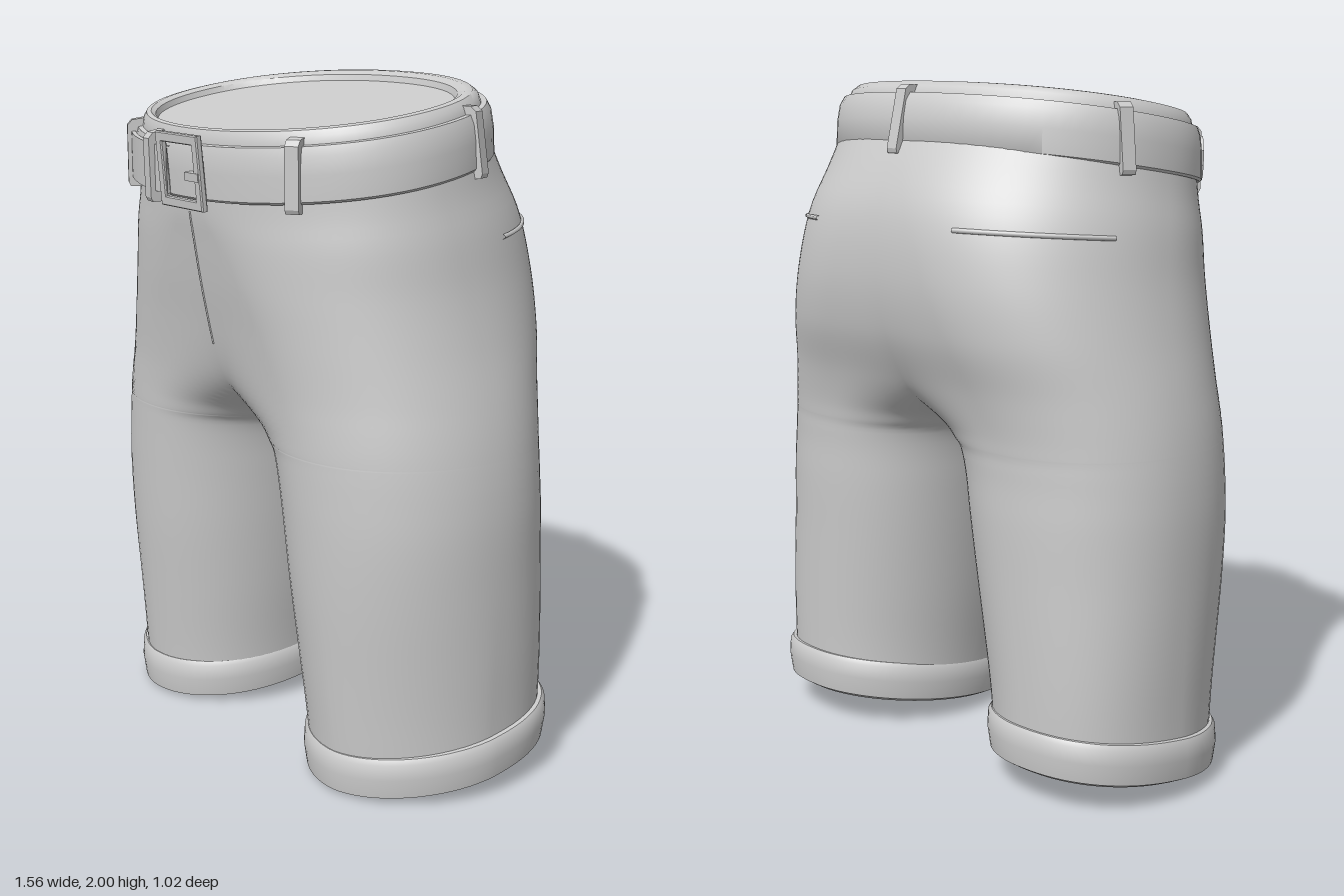
import * as THREE from 'three';
import { mergeVertices, mergeGeometries, toCreasedNormals } from 'three/addons/utils/BufferGeometryUtils.js';

const CROTCH = 0.99;
const RAD = Math.PI / 180;
const { lerp, smoothstep } = THREE.MathUtils;

// Half-body sections: height, tilt, outer x, centre x, inner x, front z, back z, middle z
// (a negative inner x means the section runs into the mirror plane)
const SECTIONS = [
  [0.12, 0.13, 0.755, 0.455, 0.150, 0.310, -0.383, -0.04],
  [0.20, 0.12, 0.756, 0.455, 0.142, 0.317, -0.385, -0.04],
  [0.40, 0.08, 0.762, 0.440, 0.115, 0.335, -0.390, -0.04],
  [0.60, 0.04, 0.766, 0.420, 0.090, 0.352, -0.395, -0.04],
  [0.80, 0.00, 0.766, 0.400, 0.065, 0.363, -0.400, -0.04],
  [0.90, 0.00, 0.760, 0.385, 0.050, 0.367, -0.400, -0.04],
  [0.95, 0.00, 0.755, 0.377, 0.036, 0.369, -0.402, -0.04],
  [0.975, 0.0, 0.752, 0.372, 0.022, 0.370, -0.403, -0.04],
  [CROTCH, 0, 0.750, 0.368, 0.000, 0.371, -0.405, -0.04],
  [1.03, 0.00, 0.744, 0.358, -0.06, 0.373, -0.410, -0.04],
  [1.08, 0.00, 0.735, 0.340, -0.20, 0.376, -0.420, -0.04],
  [1.15, 0.00, 0.720, 0.310, -0.45, 0.382, -0.438, -0.04],
  [1.30, 0.00, 0.684, 0.250, -1.00, 0.402, -0.487, -0.03],
  [1.45, 0.03, 0.652, 0.180, -1.50, 0.425, -0.510, -0.01],
  [1.60, 0.08, 0.628, 0.100, -2.00, 0.445, -0.497, 0.02],
  [1.70, 0.13, 0.606, 0.030, -2.00, 0.457, -0.455, 0.04],
  [1.80, 0.155, 0.590, 0.00, -2.00, 0.463, -0.405, 0.05],
];
const spline = new THREE.CubicInterpolant(
  SECTIONS.map(s => s[0]), SECTIONS.flatMap(s => s.slice(1)), 7);

function section(y) {
  const [tilt, xo, cx, xi, zf, zb, cz] = spline.evaluate(y);
  return { y, tilt, xo, cx: Math.max(cx, 0), xi, zf, zb, cz };
}

// Squareness of each corner; the legs turn slightly askew towards the hem
function squareness(y, outer, front) {
  const hem = front ? (outer ? 1.8 : 2.08) : (outer ? 2.4 : 2.0);
  return lerp(hem, front ? 2.08 : 2.14, smoothstep(y, 0.2, 0.8));
}

// Point of a section's superellipse; angle 0 is +x, 90 the front, o an outward offset
function ringPoint(s, deg, o = 0) {
  const c = Math.cos(deg * RAD), si = Math.sin(deg * RAD);
  const e = 2 / squareness(s.y, c > 0, si > 0);
  const rx = c > 0 ? s.xo + o - s.cx : s.cx - s.xi + o;
  const rz = si > 0 ? s.zf + o - s.cz : s.cz - s.zb + o;
  const x = s.cx + Math.sign(c) * rx * Math.abs(c) ** e;
  const z = s.cz + Math.sign(si) * rz * Math.abs(si) ** e;
  return new THREE.Vector3(Math.abs(x) < 1e-4 ? 0 : x, s.y - s.tilt * z, z);
}

// Angle at which the section meets the mirror plane
function endAngle(s, front) {
  if (s.xi > -1e-6) return 180;
  return Math.acos(-((s.cx / (s.cx - s.xi)) ** (squareness(s.y, false, front) / 2))) / RAD;
}

// Skin over rows of points
function loft(rows) {
  const w = rows[0].length, index = [];
  for (let i = 0; i < rows.length - 1; i++)
    for (let j = 0; j < w - 1; j++) {
      const a = i * w + j, b = a + w;
      index.push(a, b, a + 1, b, b + 1, a + 1);
    }
  const g = new THREE.BufferGeometry().setFromPoints(rows.flat());
  g.setIndex(index);
  return g;
}

function mirrored(g) {
  const m = g.clone().applyMatrix4(new THREE.Matrix4().makeScale(-1, 1, 1));
  m.setIndex(Array.from(g.index.array).reverse());
  return m;
}

const closedRow = (s, o = 0, n = 72) =>
  Array.from({ length: n + 1 }, (_, j) => ringPoint(s, -180 + 360 * j / n, o));
const centreRow = (s, n = 72) =>
  Array(n + 1).fill(new THREE.Vector3(s.cx, s.y - s.tilt * s.cz, s.cz));
const creased = g => toCreasedNormals(mergeVertices(g, 1e-5), 0.7);

// Waist section, a full loop round the body
const waist = (y, xo, zf, zb) => ({ y, tilt: 0.155, xo, cx: 0, xi: -xo, zf, zb, cz: 0.05 });
const BELT = waist(1.83, 0.603, 0.481, -0.415);

export function createModel() {
  const model = new THREE.Group();
  const grey = new THREE.MeshStandardMaterial({ color: 0xcccccc, side: THREE.DoubleSide });
  const add = (name, geometry, parent = model) => {
    const mesh = new THREE.Mesh(geometry, grey);
    mesh.name = name;
    parent.add(mesh);
    return mesh;
  };

  // Cloth: two mirrored halves, open above the crotch and closed round each leg below it
  const heights = [];
  for (let i = 0; i <= 30; i++) heights.push(CROTCH - (CROTCH - 0.13) * (1 - i / 30) ** 1.6);
  for (let i = 1; i <= 40; i++) heights.push(CROTCH + 0.80 * (i / 40) ** 1.6);
  const half = loft(heights.map(y => {
    const s = section(y), back = endAngle(s, false), front = endAngle(s, true);
    return Array.from({ length: 65 }, (_, j) => ringPoint(s, -back + (back + front) * j / 64));
  }));
  const cloth = mergeVertices(mergeGeometries([half, mirrored(half)]), 1e-5);
  cloth.computeVertexNormals();
  add('shortsBody', cloth);

  // Turned-up cuffs with a closed, recessed leg opening
  const cuffAt = y => ({ y, tilt: 0.13, xo: 0.765, cx: 0.457, xi: 0.153, zf: 0.312, zb: -0.388, cz: -0.04 });
  const cuffProfile = [[0.09, -0.062], [0.06, -0.058], [0.044, -0.045], [0.04, -0.015], [0.052, 0.008],
    [0.11, 0.016], [0.155, 0.013], [0.169, 0.004], [0.171, -0.03]];
  const cuff = loft([centreRow(cuffAt(0.09)), ...cuffProfile.map(([y, o]) => closedRow(cuffAt(y), o))]);
  add('leftCuff', creased(cuff));
  add('rightCuff', creased(mirrored(cuff)));

  // Waistband rim and closed top
  const rim = [[1.76, 0.580, 0.455, -0.395], [1.90, 0.575, 0.463, -0.378], [1.927, 0.566, 0.462, -0.366],
    [1.943, 0.553, 0.455, -0.345], [1.946, 0.533, 0.445, -0.322], [1.937, 0.515, 0.434, -0.300],
    [1.92, 0.508, 0.428, -0.294]].map(r => waist(...r));
  add('waistband', creased(loft([...rim.map(s => closedRow(s)), centreRow(rim[6])])));

  // Belt, leaning in towards its top at the sides and back
  const belt = [[1.757, 0.570, 0.44, -0.39], [1.753, 0.600, 0.473, -0.416], [1.76, 0.607, 0.479, -0.421],
    [1.83, 0.605, 0.482, -0.417], [1.88, 0.598, 0.482, -0.407], [1.905, 0.588, 0.476, -0.391],
    [1.907, 0.56, 0.45, -0.36]].map(r => waist(...r));
  add('belt', creased(loft(belt.map(s => closedRow(s)))));

  // Overlapping belt end with a rounded tip
  const tail = [[-1, 0], [-1, 0.012], [1, 0.012], [1, 0]].map(([side, o]) =>
    Array.from({ length: 33 }, (_, j) => {
      const t = j / 32, round = Math.max(0, (t - 0.85) / 0.15);
      const h = 0.066 * Math.sqrt(1 - round ** 4 * 0.9);
      return ringPoint({ ...BELT, y: 1.828 + side * h }, 95 + 46 * t, o);
    }));
  add('beltEnd', creased(loft(tail)));

  // Belt loops, set square to the belt: angle and outward offset
  const bracket = new THREE.Shape([[-0.03, -0.1], [0.010, -0.1], [0.016, -0.088],
    [0.016, 0.08], [0.002, 0.096], [-0.04, 0.103]].map(p => new THREE.Vector2(...p)));
  const loopShape = new THREE.ExtrudeGeometry(bracket, { depth: 0.04, bevelEnabled: false });
  loopShape.translate(0, 0, -0.02).rotateY(-Math.PI / 2);
  const loops = { leftFrontLoop: [50.5, 0], rightFrontLoop: [129.5, 0.008], leftSideLoop: [-18, -0.006],
    rightSideLoop: [198, -0.006], backLoop: [270, -0.006], beltKeeper: [103.5, 0.012] };
  for (const [name, [deg, out]] of Object.entries(loops)) {
    const loop = add(name, loopShape);
    const t = ringPoint(BELT, deg + 1).sub(ringPoint(BELT, deg - 1));
    loop.position.copy(ringPoint(BELT, deg, out));
    loop.rotation.set(-0.1 + 0.13 * Math.sin(deg * RAD), Math.atan2(t.z, -t.x), 0, 'YXZ');
  }

  // Buckle frame and prong
  const buckle = new THREE.Group();
  buckle.name = 'buckle';
  const square = (w, h) => [[-w, -h], [w, -h], [w, h], [-w, h]].map(p => new THREE.Vector2(...p));
  const frame = new THREE.Shape(square(0.1, 0.102));
  frame.holes.push(new THREE.Path(square(0.078, 0.08)));
  add('buckleFrame', new THREE.ExtrudeGeometry(frame, {
    depth: 0.012, bevelThickness: 0.004, bevelSize: 0.003, bevelSegments: 1 }), buckle);
  add('buckleProng', new THREE.BoxGeometry(0.065, 0.024, 0.02), buckle).position.set(0.065, -0.01, 0.008);
  buckle.position.set(0.012, 1.758, 0.485);
  buckle.rotation.x = 0.09;
  model.add(buckle);

  // Back pocket welts
  const welt = Array.from({ length: 17 }, (_, j) => ringPoint(section(1.57), -20 - 52 * j / 16, 0.001));
  for (const [name, side] of [['leftBackPocket', 1], ['rightBackPocket', -1]]) {
    const path = new THREE.CatmullRomCurve3(welt.map(p => new THREE.Vector3(p.x * side, p.y, p.z)));
    add(name, new THREE.TubeGeometry(path, 40, 0.007, 6));
  }

  // Fly seam down the front centre
  const fly = Array.from({ length: 10 }, (_, j) => {
    const s = section(1.25 + 0.05 * j);
    return ringPoint(s, endAngle(s, true), -0.001);
  });
  add('flySeam', new THREE.TubeGeometry(new THREE.CatmullRomCurve3(fly), 32, 0.004, 6));

  return model;
}
